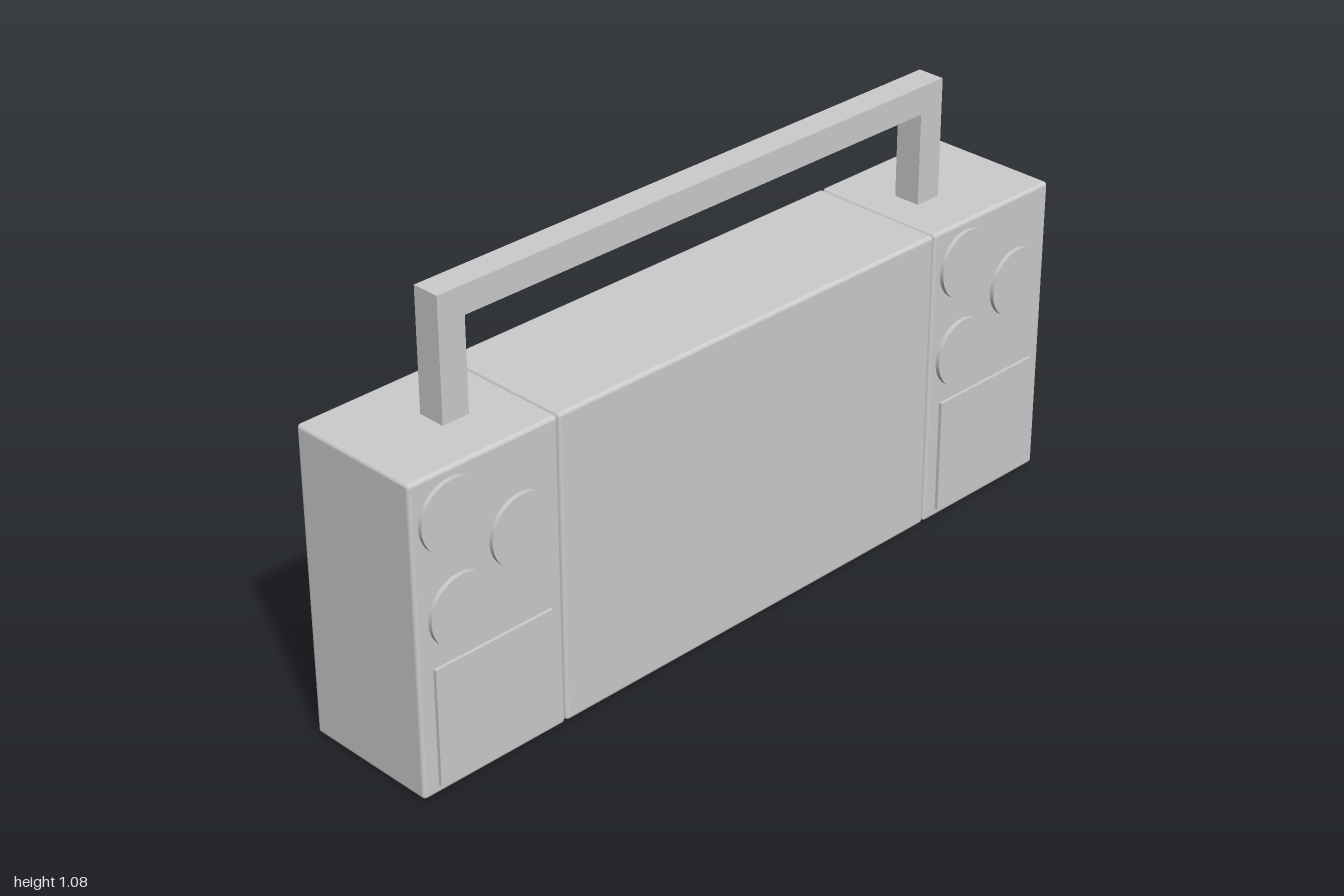
import * as THREE from 'three';
import { RoundedBoxGeometry } from 'three/addons/geometries/RoundedBoxGeometry.js';

const material = new THREE.MeshStandardMaterial({ color: 0xcccccc });

export function createModel() {
  const model = new THREE.Group();
  model.name = 'portableStereo';

  const add = (name, geometry, x, y, z) => {
    const mesh = new THREE.Mesh(geometry, material);
    mesh.name = name;
    mesh.position.set(x, y, z);
    model.add(mesh);
    return mesh;
  };

  // Three rounded case sections, separated by fine seams
  const height = 0.778, back = -0.183, front = 0.175;
  const section = (name, x0, x1) => add(name,
    new RoundedBoxGeometry(x1 - x0, height, front - back, 3, 0.01),
    (x0 + x1) / 2, height / 2, (front + back) / 2);
  section('rightSpeakerCase', -1, -0.592);
  section('centreCase', -0.59, 0.588);
  section('leftSpeakerCase', 0.59, 1);

  // Square-cornered carrying handle: two posts and a crossbar in one outline
  const outline = [
    [-0.792, 0.76], [-0.72, 0.76], [-0.72, 1.01], [0.683, 1.01],
    [0.683, 0.76], [0.755, 0.76], [0.755, 1.08], [-0.792, 1.08],
  ].map(([x, y]) => new THREE.Vector2(x, y));
  add('handle', new THREE.ExtrudeGeometry(new THREE.Shape(outline),
    { depth: 0.071, bevelEnabled: false }), 0, 0, -0.031);

  // Speaker discs and lower grille plate on each side section
  const discGeometry = new THREE.CylinderGeometry(0.087, 0.087, 0.012, 48).rotateX(Math.PI / 2);
  const plateGeometry = new THREE.BoxGeometry(0.33, 0.295, 0.011);
  const sides = [
    { side: 'right', plateX: -0.794, discs: [[-0.893, 0.668], [-0.706, 0.553], [-0.879, 0.434]] },
    { side: 'left', plateX: 0.796, discs: [[0.701, 0.668], [0.888, 0.553], [0.699, 0.434]] },
  ];
  for (const { side, plateX, discs } of sides) {
    discs.forEach(([x, y], i) => add(`${side}SpeakerDisc${i + 1}`, discGeometry, x, y, 0.18));
    add(`${side}GrillePlate`, plateGeometry, plateX, 0.17, 0.178);
  }

  return model;
}
